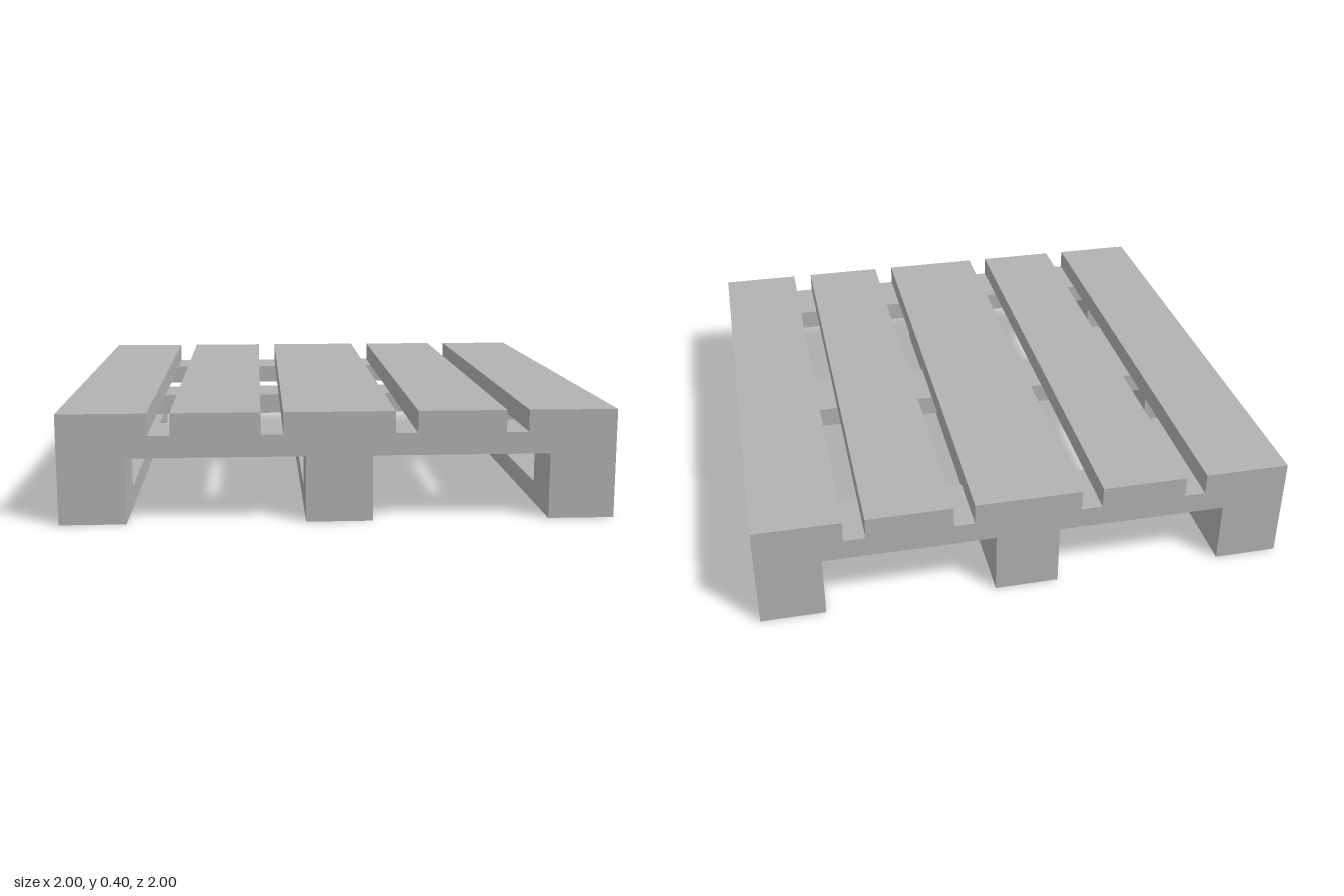
import * as THREE from 'three';

export function createModel() {
  const model = new THREE.Group();
  model.name = 'pallet';

  const wood = new THREE.MeshStandardMaterial({ color: 0xb2b2b2 });
  wood.name = 'grey';

  // Adds a box resting on the given base height
  function addBox(name, width, height, depth, x, base, z) {
    const mesh = new THREE.Mesh(new THREE.BoxGeometry(width, height, depth), wood);
    mesh.name = name;
    mesh.position.set(x, base + height / 2, z);
    model.add(mesh);
  }

  const board = 0.08; // board thickness
  const beam = 0.24; // width of runners, blocks and cross boards
  const rows = [-0.88, 0, 0.88];

  for (const x of rows) {
    // Bottom runners, front to back
    addBox('bottomRunner', beam, board, 2, x, 0, 0);
    // Spacer blocks, three on each runner
    for (const z of rows) addBox('spacerBlock', beam, 0.16, beam, x, board, z);
  }

  // Cross boards, side to side on the blocks
  for (const z of rows) addBox('crossBoard', 2, board, beam, 0, 0.24, z);

  // Deck boards, with a wider one in the middle
  for (const [x, width] of [[-0.84, 0.32], [-0.44, 0.32], [0, 0.4], [0.44, 0.32], [0.84, 0.32]]) {
    addBox('deckBoard', width, board, 2, x, 0.32, 0);
  }

  return model;
}
